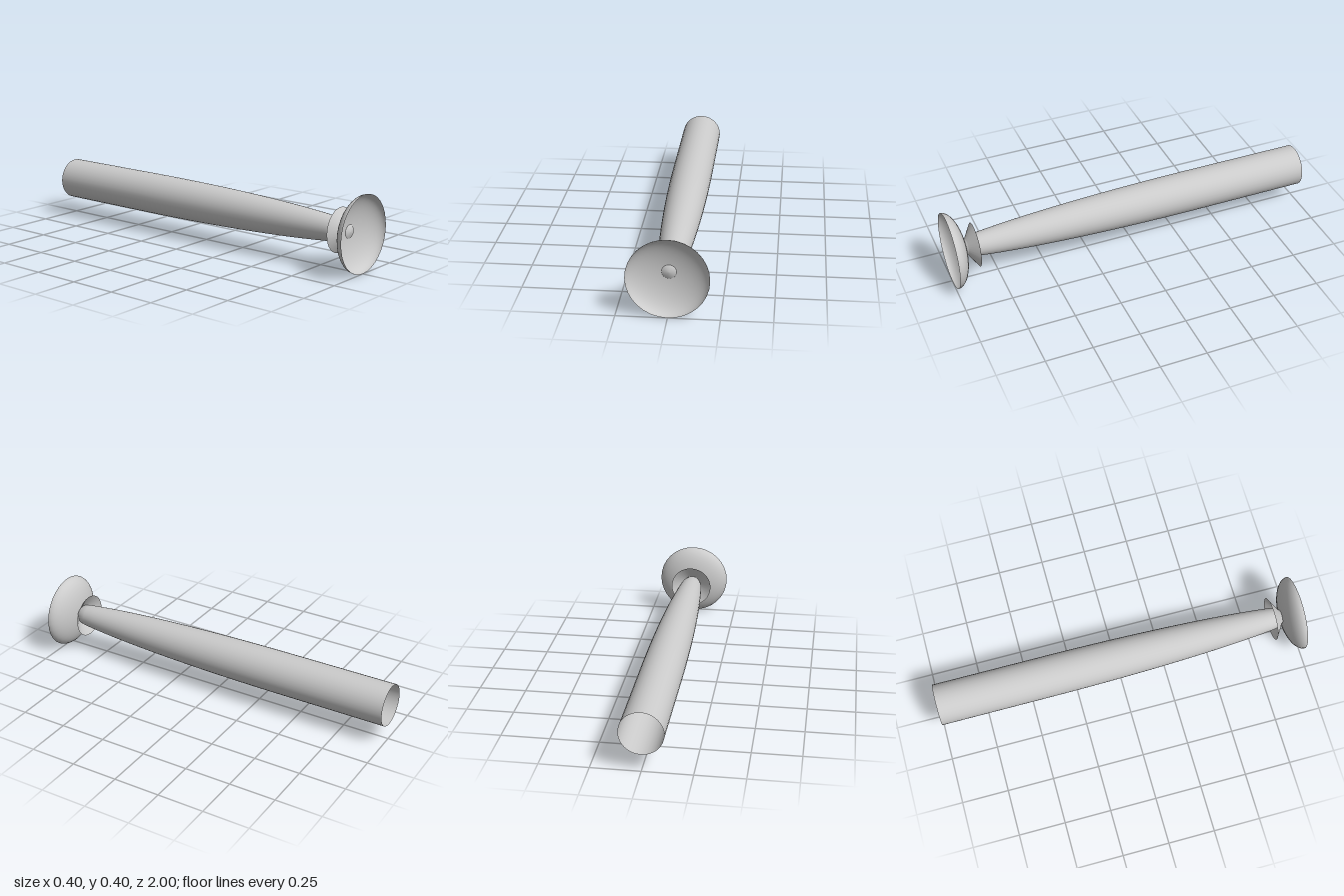
import * as THREE from 'three';

const R = 0.201; // dish radius, also the height of the axis

export function createModel() {
  const group = new THREE.Group();
  const material = new THREE.MeshStandardMaterial({ color: 0xcccccc, side: THREE.DoubleSide });

  // Turns [radius, z] points around the long axis
  const turned = (name, profile) => {
    const points = profile.map(([r, z]) => new THREE.Vector2(r, z));
    const geometry = new THREE.LatheGeometry(points, 32);
    geometry.rotateX(Math.PI / 2);
    const mesh = new THREE.Mesh(geometry, material);
    mesh.name = name;
    mesh.position.y = R;
    group.add(mesh);
  };

  // Hollow body: straight tube, elliptical taper, blunt nose
  const body = [[0.111, -1]];
  for (let i = 0; i <= 20; i++) {
    const t = (1.26 * i) / 20;
    body.push([0.111 * Math.sqrt(1 - (t / 1.5) ** 2), t - 0.4]);
  }
  body.push([0.051, 0.9], [0.031, 0.92], [0, 0.923]);
  turned('body', body);

  // Open collar flaring toward the body
  turned('collar', [[0.117, 0.86], [0.028, 0.917]]);

  // Shallow half-ellipsoid dish, open to the front
  const dish = [];
  for (let i = 0; i <= 16; i++) {
    const a = (i / 16) * Math.PI / 2;
    dish.push([R * Math.sin(a), 1 - 0.086 * Math.cos(a)]);
  }
  turned('dish', dish);

  return group;
}
